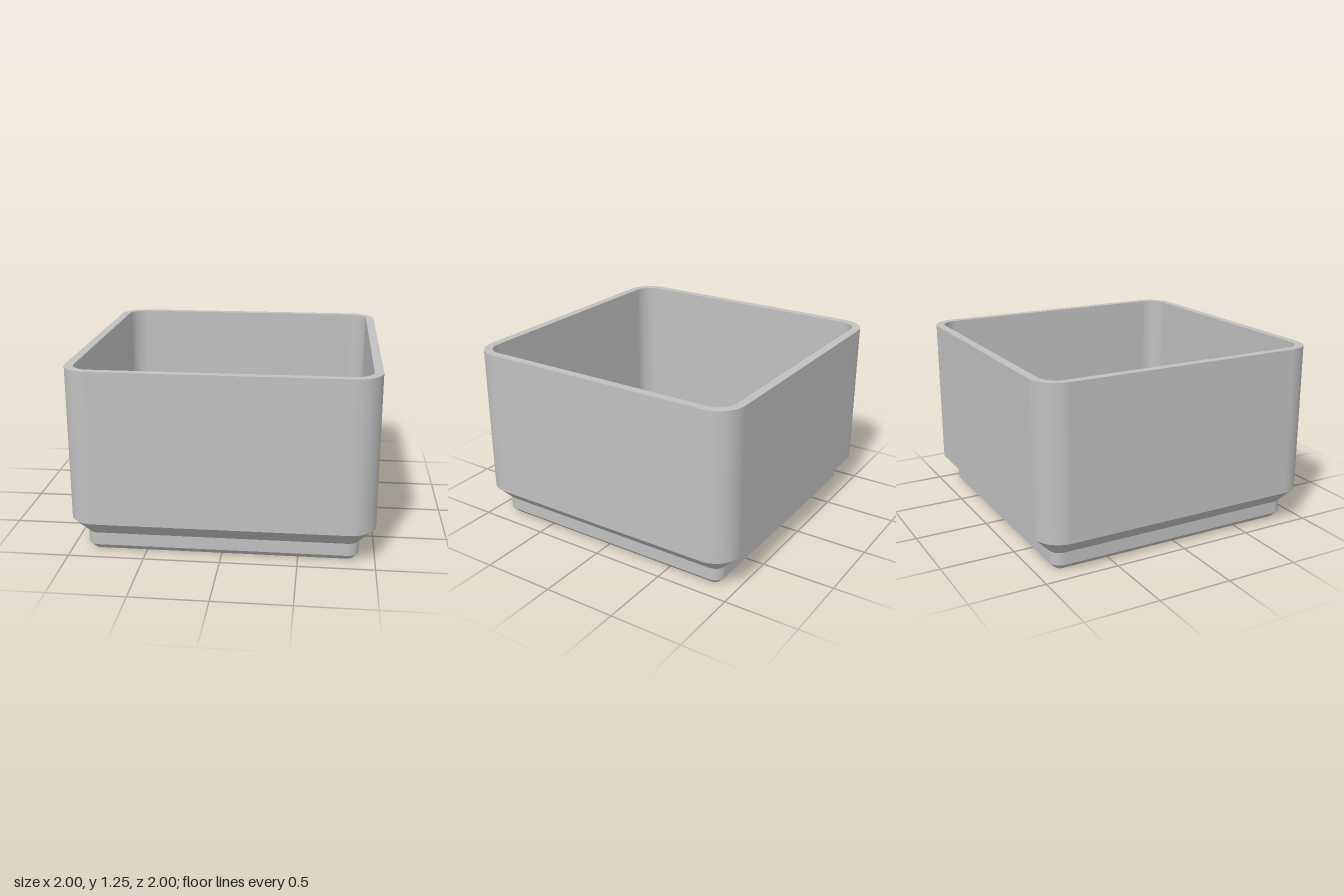
import * as THREE from 'three';

const CORE = 0.819; // half distance between corner centres; radii are measured from here
const STEPS = 16;   // segments per rounded corner

// Points of a rounded square ring; r = null collapses the ring to the axis
function ring(r) {
  const pts = [];
  for (let q = 0; q < 4; q++) {
    const mid = (q + 0.5) * Math.PI / 2;
    for (let i = 0; i <= STEPS; i++) {
      const a = (q + i / STEPS) * Math.PI / 2;
      const c = Math.cos(a), s = Math.sin(a);
      const x = r === null ? 0 : Math.sign(Math.cos(mid)) * CORE + r * c;
      const z = r === null ? 0 : Math.sign(Math.sin(mid)) * CORE + r * s;
      pts.push({ x, z, c, s });
    }
  }
  return pts;
}

// Sweeps a [radius, y] profile round the rounded square, with a crisp edge at every profile point
function sweep(profile) {
  const pos = [], nor = [], idx = [];
  for (let k = 0; k < profile.length - 1; k++) {
    const [r0, y0] = profile[k], [r1, y1] = profile[k + 1];
    const dr = (r1 ?? -CORE) - (r0 ?? -CORE), dy = y1 - y0;
    const len = Math.hypot(dr, dy);
    const low = ring(r0), high = ring(r1), n = low.length;
    const base = pos.length / 3;
    for (const [pts, y] of [[low, y0], [high, y1]]) {
      for (const p of pts) {
        pos.push(p.x, y, p.z);
        nor.push(p.c * dy / len, -dr / len, p.s * dy / len);
      }
    }
    for (let i = 0; i < n; i++) {
      const j = (i + 1) % n;
      const a = base + i, b = base + j, c = base + n + i, d = base + n + j;
      if (r0 !== null) idx.push(a, c, b);
      if (r1 !== null) idx.push(b, c, d);
    }
  }
  const g = new THREE.BufferGeometry();
  g.setAttribute('position', new THREE.Float32BufferAttribute(pos, 3));
  g.setAttribute('normal', new THREE.Float32BufferAttribute(nor, 3));
  g.setIndex(idx);
  return g;
}

export function createModel() {
  const group = new THREE.Group();
  group.name = 'storageBin';
  const grey = new THREE.MeshStandardMaterial({ color: 0xc0c0c0 });
  grey.name = 'grey';

  const parts = {
    // stepped foot: underside, small chamfer, upright band, large chamfer
    foot: [[null, 0], [0.039, 0], [0.077, 0.039], [0.077, 0.125], [0.181, 0.229]],
    // outer wall, rim and inner wall
    walls: [[0.181, 0.229], [0.181, 1.25], [0.123, 1.25], [0.123, 0.29]],
    // inside floor
    floor: [[0.123, 0.29], [null, 0.29]],
  };
  for (const [name, profile] of Object.entries(parts)) {
    const mesh = new THREE.Mesh(sweep(profile), grey);
    mesh.name = name;
    group.add(mesh);
  }
  return group;
}
